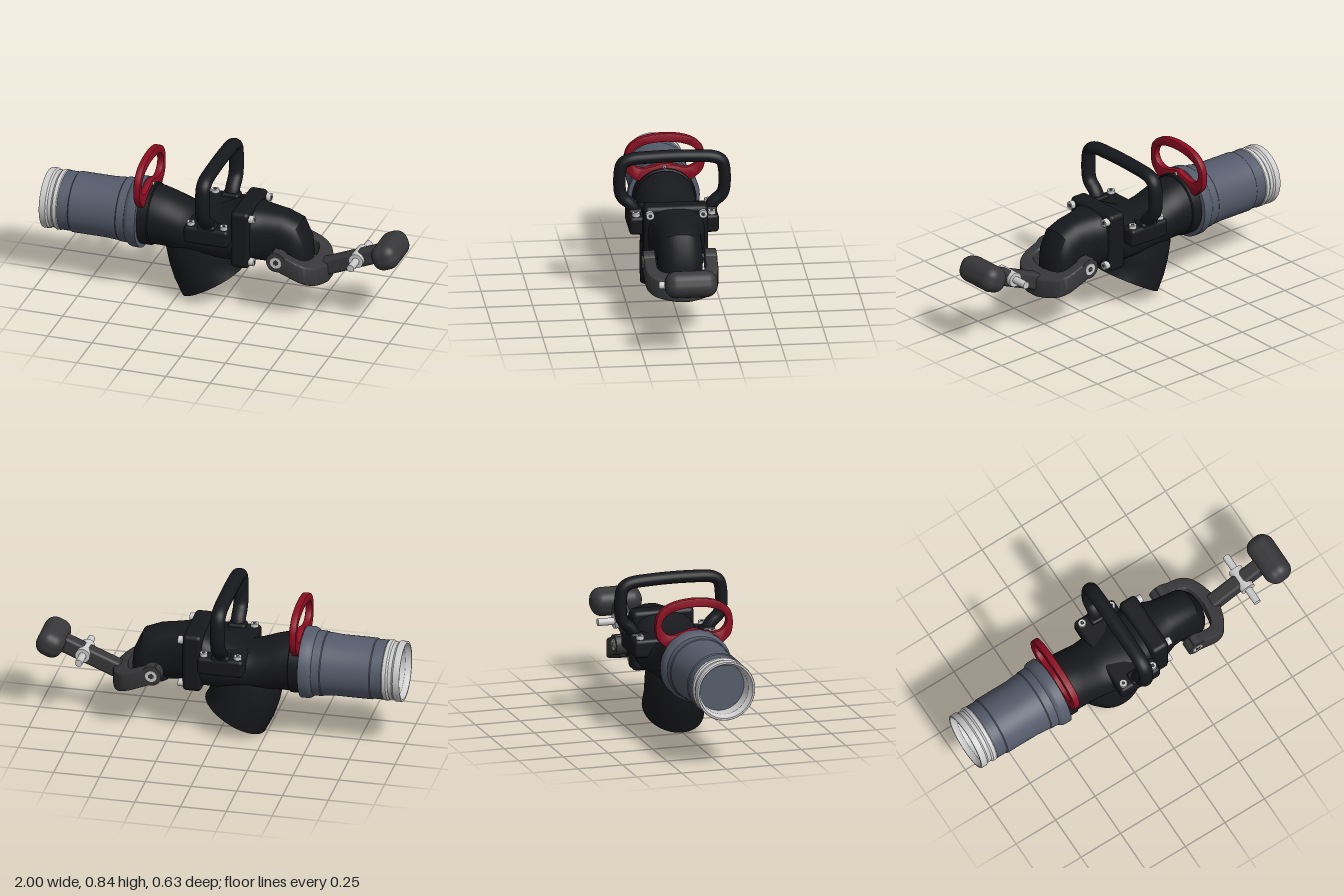
import * as THREE from 'three';
import { toCreasedNormals } from 'three/addons/utils/BufferGeometryUtils.js';
import { RoundedBoxGeometry } from 'three/addons/geometries/RoundedBoxGeometry.js';

const mat = (color) => new THREE.MeshStandardMaterial({ color });
const BLACK = mat(0x17181c), DARK = mat(0x38383a), BLUE = mat(0x555b6b), RED = mat(0x8c0d22), STEEL = mat(0xcccccc);
const AXIS = 0.432; // height of the main pipe axis

// Skin over closed sections [x, y, tilt in degrees, a, b, squareness]; each lies in the plane of z and the tilted direction
function loft(stations, crease = 0.6, sides = 48) {
  const pos = [], idx = [];
  const bend = (v, n) => Math.sign(v) * Math.pow(Math.abs(v), 2 / n);
  for (const [x, y, tilt, a, b, n = 2] of stations) {
    const t = THREE.MathUtils.degToRad(tilt);
    for (let j = 0; j < sides; j++) {
      const w = (j / sides) * Math.PI * 2;
      const p = a * bend(Math.cos(w), n);
      pos.push(x + Math.cos(t) * p, y + Math.sin(t) * p, b * bend(Math.sin(w), n));
    }
  }
  const last = (stations.length - 1) * sides, c0 = last + sides;
  for (const s of [stations[0], stations.at(-1)]) pos.push(s[0], s[1], 0);
  for (let j = 0; j < sides; j++) {
    const k = (j + 1) % sides;
    for (let i = 0; i < last; i += sides) {
      idx.push(i + j, i + k, i + sides + j, i + k, i + sides + k, i + sides + j);
    }
    idx.push(c0, k, j, c0 + 1, last + j, last + k);
  }
  const g = new THREE.BufferGeometry();
  g.setAttribute('position', new THREE.Float32BufferAttribute(pos, 3));
  g.setIndex(idx);
  return toCreasedNormals(g, crease);
}

// Round sections [x, radius] on the main axis
const pipe = (profile) => loft(profile.map(([x, r]) => [x, AXIS, 90, r, r]), 0.5, 64);

// Smooth closed or open outline from its right half, mirrored
function mirrored(half, closed) {
  const other = half.filter((p) => p[0] > 0).map(([z, y]) => [-z, y]).reverse();
  const pts = half.concat(other).map(([z, y]) => new THREE.Vector3(z, y, 0));
  return new THREE.CatmullRomCurve3(pts, closed).getPoints(64).map((p) => new THREE.Vector2(p.x, p.y));
}

export function createModel() {
  const model = new THREE.Group();
  const add = (name, geometry, material, x = 0, y = 0, z = 0, parent = model) => {
    const m = new THREE.Mesh(geometry, material);
    m.name = name;
    m.position.set(x, y, z);
    parent.add(m);
    return m;
  };

  // Socket-head bolt pointing along an axis
  const bolt = (name, x, y, z, dir, r, len) => {
    const g = new THREE.Group();
    g.name = name;
    add('boltHead', new THREE.CylinderGeometry(r, r, len, 20), STEEL, 0, 0, 0, g);
    add('boltSocket', new THREE.CylinderGeometry(r * 0.5, r * 0.5, 0.002, 6), DARK, 0, len / 2, 0, g);
    g.position.set(x, y, z);
    g.quaternion.setFromUnitVectors(new THREE.Vector3(0, 1, 0), new THREE.Vector3(...dir));
    model.add(g);
  };

  // Inlet coupling with an open bore
  add('inletRing', pipe([[-0.74, 0.11], [-0.78, 0.125], [-0.97, 0.135], [-0.985, 0.147], [-1, 0.15], [-1, 0.16],
    [-0.995, 0.163], [-0.965, 0.163], [-0.955, 0.155], [-0.935, 0.155], [-0.925, 0.163], [-0.905, 0.163], [-0.9, 0.158]]), STEEL);
  add('couplingSleeve', pipe([[-0.9, 0.15], [-0.9, 0.16], [-0.84, 0.16], [-0.835, 0.165], [-0.64, 0.165], [-0.6, 0.169],
    [-0.57, 0.17], [-0.565, 0.174], [-0.52, 0.176], [-0.505, 0.188], [-0.495, 0.192], [-0.452, 0.193], [-0.45, 0.187]]), BLUE);
  for (let i = 0; i < 6; i++) {
    const a = (i / 6) * Math.PI * 2;
    const hole = add('boreHole', new THREE.CylinderGeometry(0.013, 0.013, 0.01, 14), BLACK,
      -0.87, AXIS + 0.13 * Math.cos(a), 0.13 * Math.sin(a));
    hole.rotation.x = a;
  }
  add('couplingCollar', pipe([[-0.455, 0.17], [-0.395, 0.17], [-0.39, 0.163]]), BLACK);

  // Red pull ring
  const ring = new THREE.Shape(mirrored([[0.15, 0.54], [0.2, 0.59], [0.211, 0.66], [0.195, 0.72], [0.135, 0.768], [0, 0.791]], false));
  ring.holes.push(new THREE.Path(mirrored([[0, 0.625], [0.06, 0.608], [0.12, 0.597], [0.165, 0.617], [0.185, 0.66],
    [0.165, 0.71], [0.1, 0.742], [0, 0.754]], true)));
  const ringGeo = new THREE.ExtrudeGeometry(ring, { depth: 0.024, bevelThickness: 0.007, bevelSize: 0.005, bevelSegments: 2 });
  ringGeo.rotateY(-Math.PI / 2);
  add('pullRing', toCreasedNormals(ringGeo, 0.7), RED, -0.419);
  bolt('pullRingPin', -0.41, 0.61, 0, [1, 0, 0], 0.01, 0.012);

  // Main valve body
  add('valveBody', loft([[-0.42, 0.432, 90, 0.163, 0.163], [-0.37, 0.431, 90, 0.16, 0.161], [-0.3, 0.42, 90, 0.15, 0.16],
    [-0.22, 0.395, 90, 0.145, 0.16], [-0.15, 0.388, 90, 0.128, 0.17], [-0.05, 0.395, 90, 0.128, 0.175, 2.4],
    [0.03, 0.415, 90, 0.145, 0.175, 2.8], [0.1, 0.43, 90, 0.158, 0.168, 3]]), BLACK);

  // Slanted outlet branch with a threaded bore
  const branch = [[-0.13, 0.4, 0, 0.19, 0.14], [-0.13, 0.29, 3, 0.203, 0.162], [-0.122, 0.22, 12, 0.193, 0.165],
    [-0.11, 0.165, 23, 0.186, 0.166], [-0.073, 0.094, 29.7, 0.187, 0.166], [-0.073, 0.094, 29.7, 0.162, 0.145]];
  for (let i = 1; i <= 14; i++) {
    const d = i * 0.009, cut = i % 2 ? 0.007 : 0;
    branch.push([-0.073 - 0.495 * d, 0.094 + 0.87 * d, 29.7, 0.156 - cut, 0.14 - cut]);
  }
  add('outletBranch', loft(branch), BLACK);

  // Handle bracket, carrying handle and flange
  add('handleBracket', new RoundedBoxGeometry(0.25, 0.1, 0.48, 3, 0.02), BLACK, -0.038, 0.458, 0);
  for (const s of [1, -1]) {
    add('handleSocket', new RoundedBoxGeometry(0.1, 0.1, 0.075, 3, 0.015), BLACK, -0.038, 0.475, s * 0.2);
  }
  const half = [[0.2, 0.47], [0.207, 0.515], [0.228, 0.548], [0.262, 0.578], [0.278, 0.615], [0.278, 0.735], [0.265, 0.772], [0.23, 0.793], [0.1, 0.804]];
  const bar = [...half, ...half.map(([z, y]) => [-z, y]).reverse()].map(([z, y]) => new THREE.Vector3(0, y, z));
  const barGeo = new THREE.TubeGeometry(new THREE.CatmullRomCurve3(bar), 120, 0.033, 20);
  barGeo.scale(1.22, 1, 1);
  add('carryHandle', barGeo, BLACK, -0.038);
  add('flangePlate', new RoundedBoxGeometry(0.105, 0.328, 0.345, 3, 0.025), BLACK, 0.13, AXIS, 0);
  for (const s of [1, -1]) {
    for (const x of [-0.13, 0.055]) bolt('bracketBolt', x, 0.513, s * 0.203, [0, 1, 0], 0.021, 0.027);
    for (const y of [0.558, 0.306]) bolt('flangeBolt', 0.192, y, s * 0.142, [1, 0, 0], 0.022, 0.03);
  }

  // Elbow turning downwards
  add('elbow', loft([[0.17, 0.43, 90, 0.155, 0.155, 3], [0.205, 0.43, 90, 0.15, 0.145, 2.6], [0.25, 0.425, 88, 0.151, 0.128, 2.5],
    [0.31, 0.415, 78, 0.152, 0.12, 2.5], [0.35, 0.4, 58, 0.15, 0.12, 2.5], [0.375, 0.365, 30, 0.117, 0.12, 2.5],
    [0.38, 0.32, 8, 0.107, 0.118, 2.5], [0.38, 0.275, 0, 0.105, 0.115, 2.5]]), BLACK);

  // Lever: forked yoke drawn in plan, then sheared to slope down
  const plan = new THREE.Shape();
  plan.moveTo(0.33, 0.188).lineTo(0.44, 0.188);
  plan.bezierCurveTo(0.53, 0.188, 0.555, 0.13, 0.58, 0.035);
  plan.lineTo(0.58, -0.035).bezierCurveTo(0.555, -0.13, 0.53, -0.188, 0.44, -0.188);
  plan.lineTo(0.33, -0.188).lineTo(0.33, -0.14).lineTo(0.43, -0.14);
  plan.bezierCurveTo(0.49, -0.14, 0.505, -0.1, 0.515, 0).bezierCurveTo(0.505, 0.1, 0.49, 0.14, 0.43, 0.14);
  plan.lineTo(0.33, 0.14);
  const yoke = new THREE.ExtrudeGeometry(plan, { depth: 0.085, bevelThickness: 0.01, bevelSize: 0.008, bevelSegments: 3, curveSegments: 16 });
  yoke.rotateX(-Math.PI / 2).translate(0, -0.0425, 0);
  const p = yoke.attributes.position;
  for (let i = 0; i < p.count; i++) p.setY(i, p.getY(i) + 0.35 - 0.4 * (p.getX(i) - 0.345));
  add('leverYoke', toCreasedNormals(yoke, 0.7), DARK);
  for (const s of [1, -1]) {
    add('yokeEye', new THREE.CylinderGeometry(0.055, 0.055, 0.062, 32), DARK, 0.345, 0.35, s * 0.165).rotation.x = Math.PI / 2;
    bolt('pivotBolt', 0.345, 0.35, s * 0.194, [0, 0, s], 0.032, 0.012);
  }
  const stem = add('leverStem', new RoundedBoxGeometry(0.38, 0.09, 0.08, 3, 0.018), DARK, 0.71, 0.338, 0);
  const knob = add('leverKnob', new RoundedBoxGeometry(0.148, 0.142, 0.28, 6, 0.06), DARK, 0.922, 0.425, 0);
  stem.rotation.z = knob.rotation.z = 0.39;

  // Cross pin through the lever
  for (const [name, r, len] of [['crossPin', 0.02, 0.31], ['pinCollar', 0.04, 0.13]]) {
    add(name, new THREE.CylinderGeometry(r, r, len, 24), STEEL, 0.75, 0.362, 0).rotation.x = Math.PI / 2;
  }
  return model;
}
